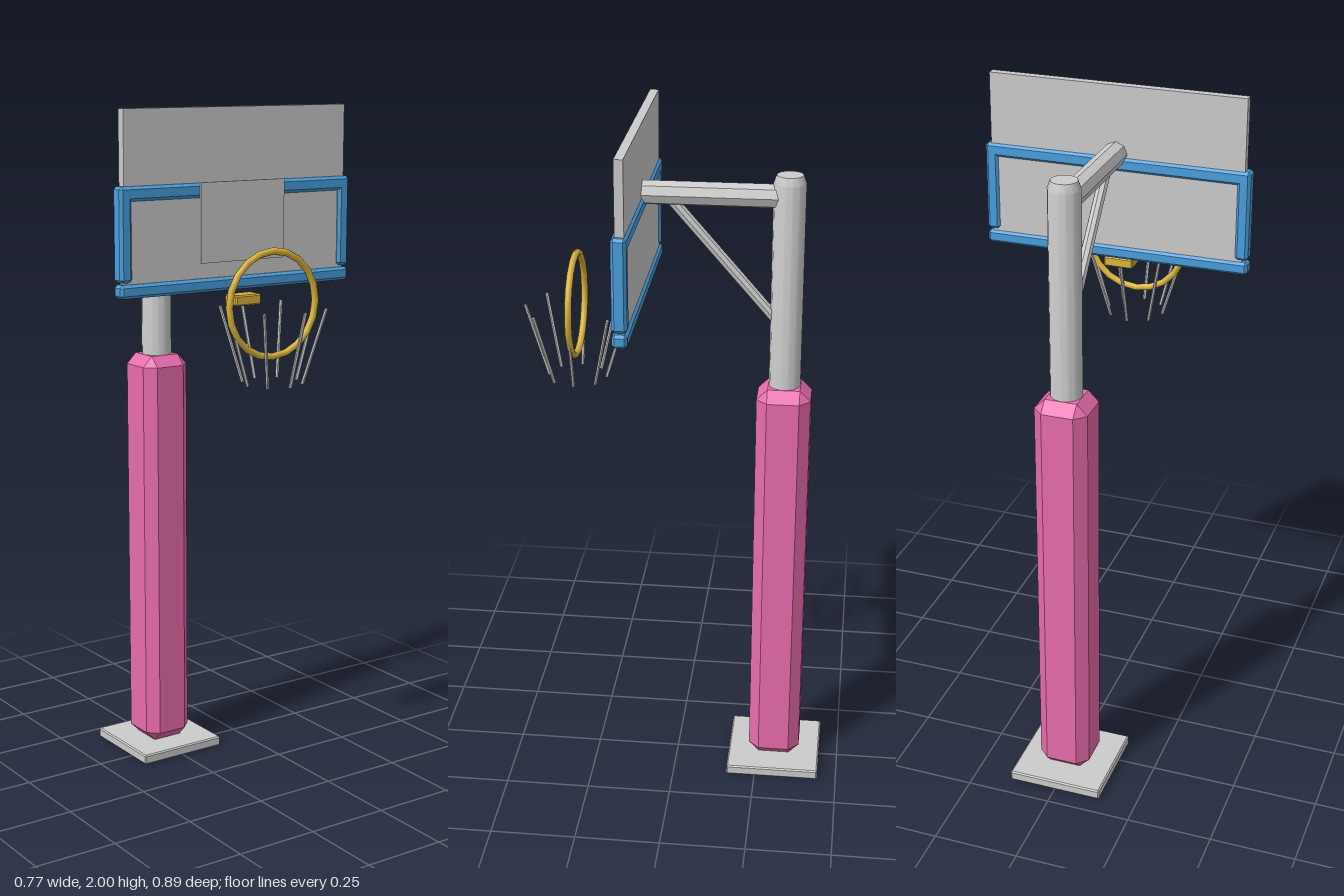
import * as THREE from 'three';
import { ConvexGeometry } from 'three/addons/geometries/ConvexGeometry.js';
import { toCreasedNormals } from 'three/addons/utils/BufferGeometryUtils.js';

const grey = new THREE.MeshStandardMaterial({ color: 0xcccccc });
const pink = new THREE.MeshStandardMaterial({ color: 0xe86cac });
const blue = new THREE.MeshStandardMaterial({ color: 0x4a9fdc });
const yellow = new THREE.MeshStandardMaterial({ color: 0xdcb63c });

// Box given by its min and max corners, every edge cut by one chamfer b
function chamferBox(min, max, b) {
  const lo = new THREE.Vector3(...min), hi = new THREE.Vector3(...max);
  const mid = lo.clone().add(hi).multiplyScalar(0.5);
  const h = hi.clone().sub(lo).multiplyScalar(0.5);
  const points = [];
  for (const x of [-1, 1]) for (const y of [-1, 1]) for (const z of [-1, 1]) {
    for (let axis = 0; axis < 3; axis++) {
      const inset = [b, b, b];
      inset[axis] = 0;
      points.push(new THREE.Vector3(
        mid.x + x * (h.x - inset[0]),
        mid.y + y * (h.y - inset[1]),
        mid.z + z * (h.z - inset[2])));
    }
  }
  return new ConvexGeometry(points);
}

// Plain box given by its min and max corners
function plainBox(min, max) {
  const size = max.map((v, i) => v - min[i]);
  return new THREE.BoxGeometry(...size)
    .translate(...max.map((v, i) => (v + min[i]) / 2));
}

// Faceted rod running from a to b
function rod(a, b, radius, sides) {
  const start = new THREE.Vector3(...a), end = new THREE.Vector3(...b);
  const dir = end.clone().sub(start);
  const geometry = new THREE.CylinderGeometry(radius, radius, dir.length(), sides);
  geometry.applyQuaternion(new THREE.Quaternion().setFromUnitVectors(
    new THREE.Vector3(0, 1, 0), dir.normalize()));
  const mid = start.add(end).multiplyScalar(0.5);
  return toCreasedNormals(geometry.translate(mid.x, mid.y, mid.z), 0.6);
}

export function createModel() {
  const model = new THREE.Group();
  model.name = 'basketballHoop';
  const add = (name, geometry, material, parent = model) => {
    const mesh = new THREE.Mesh(geometry, material);
    mesh.name = name;
    parent.add(mesh);
    return mesh;
  };
  const poleZ = -0.304;

  // Ground plate, padding and pole
  add('basePlate', chamferBox([-0.14, 0, poleZ - 0.14], [0.14, 0.03, poleZ + 0.14], 0.004), grey);
  add('polePadding', chamferBox([-0.077, 0.03, poleZ - 0.077], [0.077, 1.255, poleZ + 0.077], 0.031), pink);
  const profile = [[0, 0.03], [0.045, 0.03], [0.045, 1.845], [0.037, 1.868], [0, 1.868]]
    .map(([r, y]) => new THREE.Vector2(r, y));
  const pole = new THREE.LatheGeometry(profile, 14);
  add('pole', toCreasedNormals(pole, 0.5).translate(0, 0, poleZ), grey);

  // Arm and diagonal brace carrying the board
  add('supportArm', rod([0, 1.807, poleZ], [0, 1.807, 0.1], 0.034, 8), grey);
  add('diagonalBrace', rod([0, 1.79, 0.02], [0, 1.455, -0.272], 0.016, 8), grey);

  // Backboard with its raised target plate
  add('backboard', plainBox([-0.37, 1.52, 0.098], [0.37, 2, 0.123]), grey);
  add('targetPlate', plainBox([-0.14, 1.58, 0.142], [0.14, 1.8, 0.149]), grey);

  // Frame around the lower half of the board
  const frame = new THREE.Group();
  frame.name = 'boardFrame';
  model.add(frame);
  const z0 = 0.091, z1 = 0.133;
  add('topRail', chamferBox([-0.387, 1.757, z0], [0.387, 1.797, z1], 0.008), blue, frame);
  add('bottomRail', chamferBox([-0.387, 1.497, z0], [0.387, 1.535, z1], 0.008), blue, frame);
  for (const [name, x] of [['rightStile', -0.368], ['leftStile', 0.368]]) {
    add(name, chamferBox([x - 0.019, 1.54, z0], [x + 0.019, 1.797, z1], 0.008), blue, frame);
  }

  // Upright rim ring and its bracket
  const rimY = 1.474, rimZ = 0.29;
  add('rim', new THREE.TorusGeometry(0.145, 0.01, 8, 20).translate(0, rimY, rimZ), yellow);
  add('rimBracket', chamferBox([-0.043, 1.457, 0.122], [0.043, 1.487, 0.178], 0.004), yellow);

  // Eight slanted net strands, closing in towards the bottom
  const net = new THREE.Group();
  net.name = 'net';
  model.add(net);
  for (let i = 0; i < 8; i++) {
    const angle = i * Math.PI / 4;
    const at = (r, y) => [r * Math.sin(angle), y, rimZ + r * Math.cos(angle)];
    add('netStrand', rod(at(0.147, 1.466), at(0.083, 1.255), 0.005, 6), grey, net);
  }
  return model;
}
